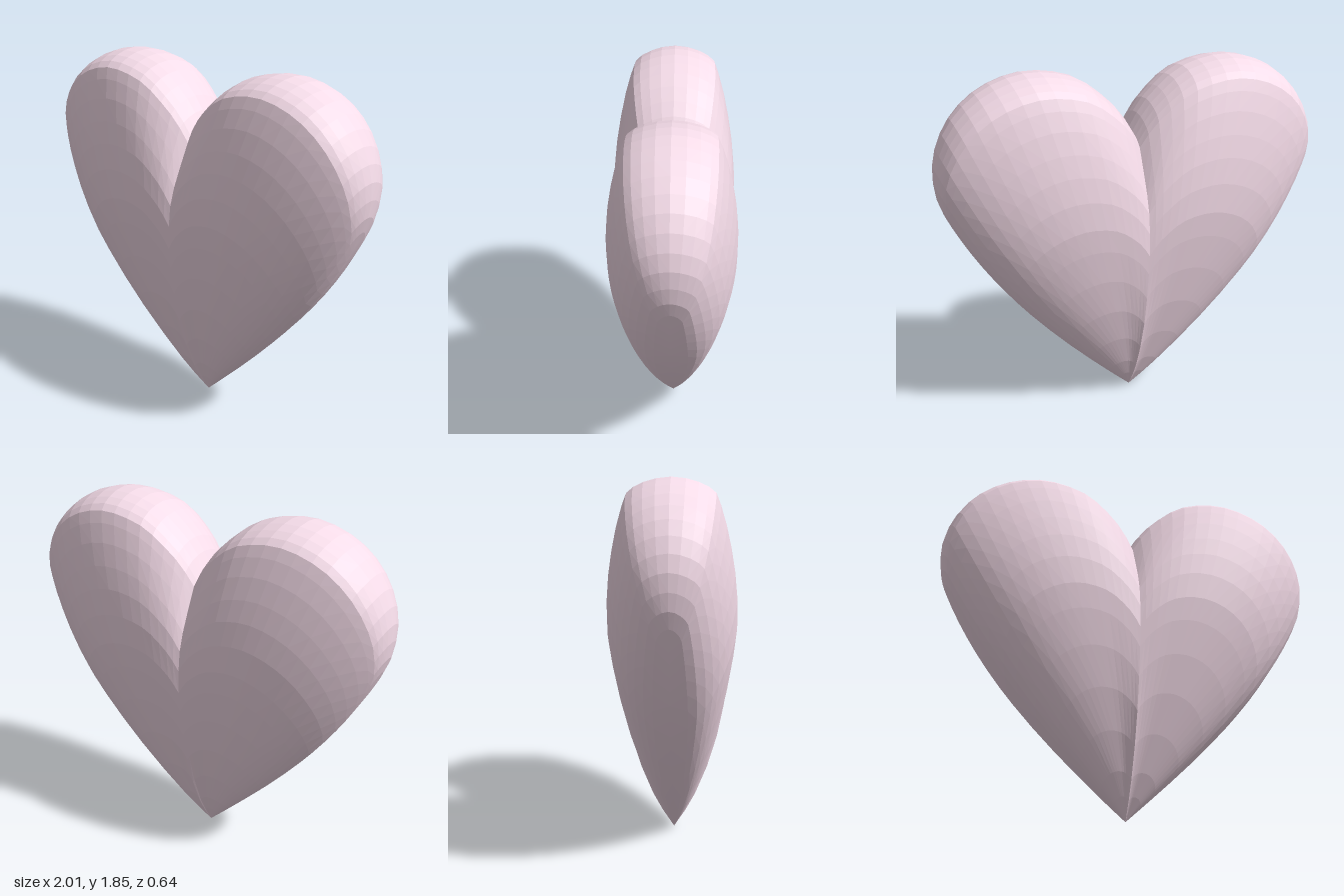
import * as THREE from 'three';

// Rim of the left lobe, from the cleft over the top to the outer flank
const RIM = [
  [0, 1.52], [0.07, 1.63], [0.16, 1.72], [0.27, 1.8], [0.4, 1.84], [0.53, 1.85], [0.67, 1.82],
  [0.79, 1.76], [0.89, 1.67], [0.96, 1.56], [1, 1.43], [0.99, 1.25], [0.93, 1.11],
];
// Half depth along each ray from the tip: [fraction of the ray, depth]
const DEPTH = [
  [0, 0], [0.06, 0.062], [0.12, 0.113], [0.22, 0.178], [0.33, 0.235], [0.44, 0.278], [0.54, 0.307],
  [0.61, 0.321], [0.69, 0.319], [0.76, 0.306], [0.82, 0.287], [0.88, 0.262], [0.93, 0.234],
  [0.96, 0.212], [0.975, 0.178], [0.987, 0.13], [0.996, 0.07], [1, 0],
];
const RIM_STEPS = 20;
const { smoothstep, lerp } = THREE.MathUtils;

// Rounding across the lobe: dip towards the cleft, fuller fall to the flank higher up
function section(f, t) {
  const mid = 0.32;
  if (f < mid) {
    const dip = 0.07 * smoothstep(t, 0.15, 0.6) + 0.22 * smoothstep(t, 0.75, 1);
    return 1 - dip * ((mid - f) / mid) ** 2;
  }
  return Math.sqrt(Math.max(0, 1 - ((f - mid) / (1 - mid)) ** lerp(1.8, 2.6, t)));
}

function lobeGeometry(side) {
  const curve = new THREE.CatmullRomCurve3(RIM.map(([x, y]) => new THREE.Vector3(x, y, 0)));
  const rim = curve.getSpacedPoints(RIM_STEPS);
  const last = rim[RIM_STEPS];
  const endAngle = Math.atan2(last.x, last.y);
  const positions = [];
  const indices = [];
  const cols = RIM_STEPS + 1;

  for (const face of [1, -1]) {
    const start = positions.length / 3;
    // Fan of rays from the bottom tip, bowed outward towards the flank
    for (const [t, depth] of DEPTH) {
      for (const p of rim) {
        const angle = Math.atan2(p.x, p.y);
        const f = Math.min(1, angle / endAngle);
        const a = angle + 0.125 * f * f * (1 - t * t);
        const r = Math.hypot(p.x, p.y) * t;
        positions.push(side * r * Math.sin(a), r * Math.cos(a), face * depth * section(f, t));
      }
    }
    for (let j = 0; j < DEPTH.length - 1; j++) {
      for (let i = 0; i < RIM_STEPS; i++) {
        const a = start + j * cols + i;
        const b = a + 1, c = b + cols, d = a + cols;
        if (side * face > 0) indices.push(a, b, c, a, c, d);
        else indices.push(a, c, b, a, d, c);
      }
    }
  }

  const geometry = new THREE.BufferGeometry();
  geometry.setAttribute('position', new THREE.Float32BufferAttribute(positions, 3));
  geometry.setIndex(indices);
  geometry.computeVertexNormals();
  return geometry;
}

export function createModel() {
  const group = new THREE.Group();
  group.name = 'heart';
  const material = new THREE.MeshStandardMaterial({ color: 0xf5dce9, flatShading: true });
  for (const [name, side] of [['leftLobe', 1], ['rightLobe', -1]]) {
    const lobe = new THREE.Mesh(lobeGeometry(side), material);
    lobe.name = name;
    group.add(lobe);
  }
  return group;
}
